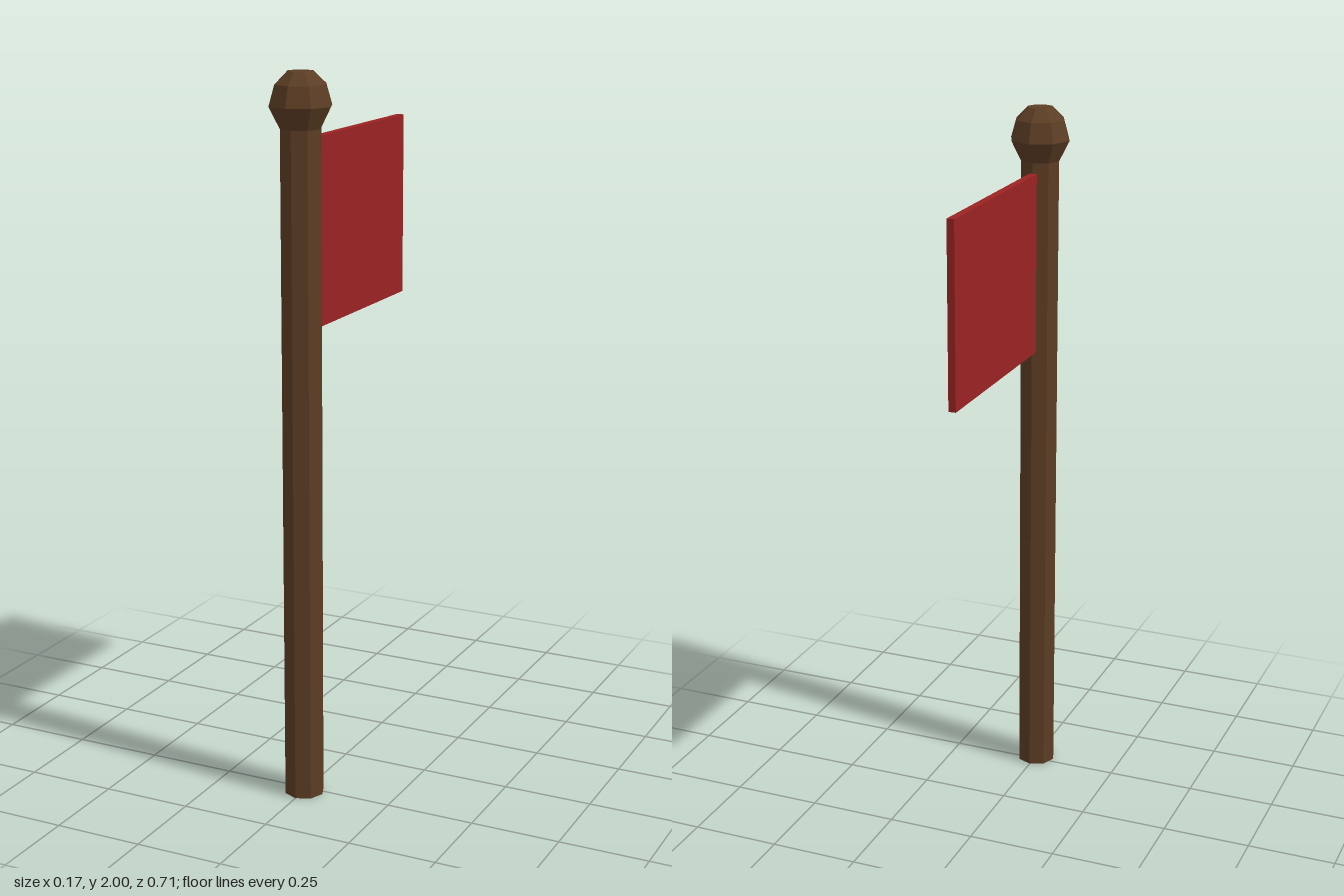
import * as THREE from 'three';

export function createModel() {
  const model = new THREE.Group();
  const wood = new THREE.MeshStandardMaterial({ color: 0x5c3d24, flatShading: true });
  wood.name = 'brown wood';
  const cloth = new THREE.MeshStandardMaterial({ color: 0x9b2323, flatShading: true });
  cloth.name = 'red cloth';

  const poleZ = 0.267;
  const sides = 8;

  const add = (name, geometry, material, y, z) => {
    const mesh = new THREE.Mesh(geometry, material);
    mesh.name = name;
    mesh.position.set(0, y, z);
    model.add(mesh);
  };

  // Octagonal pole with a corner facing the front
  add('pole', new THREE.CylinderGeometry(0.056, 0.056, 1.86, sides), wood, 0.93, poleZ);

  // Faceted knob with a flat top
  const knobProfile = [[0, 1.85], [0.054, 1.85], [0.086, 1.912], [0.07, 1.967], [0.036, 2], [0, 2]]
    .map(([r, y]) => new THREE.Vector2(r, y));
  add('knob', new THREE.LatheGeometry(knobProfile, sides), wood, 0, poleZ);

  // Thin flag reaching back from the pole
  const flagFront = 0.25, flagBack = -0.353;
  add('flag', new THREE.BoxGeometry(0.021, 0.51, flagFront - flagBack), cloth,
    1.57, (flagFront + flagBack) / 2);

  return model;
}
